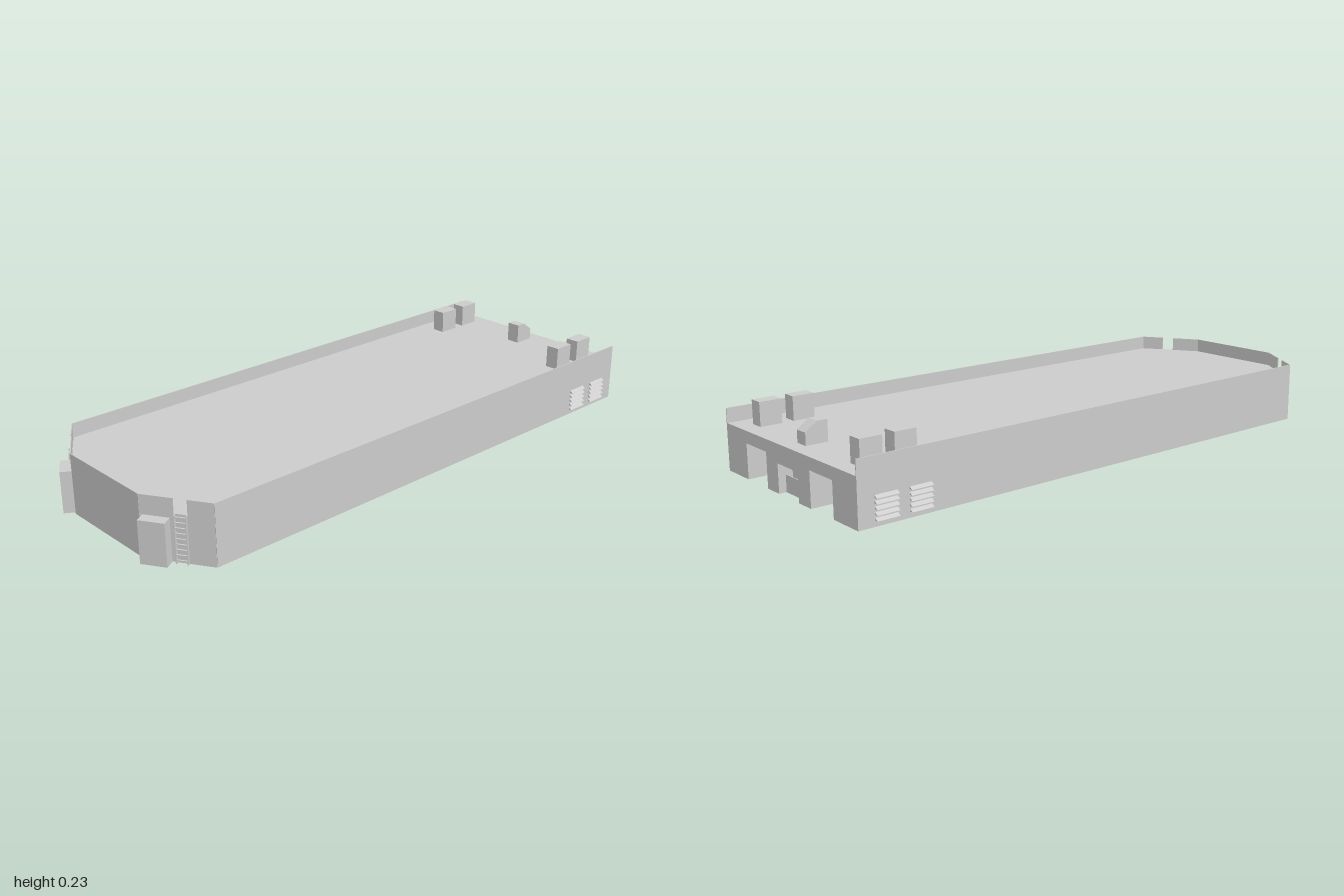
import * as THREE from 'three';

const W = 0.372, BACK = -1, CHAMFER_Z = 0.85, FRONT_Z = 0.97, FRONT_X = 0.18;
const DECK = 0.155, TOP = 0.203, THICK = 0.003;

export function createModel() {
  const root = new THREE.Group();
  const mat = new THREE.MeshStandardMaterial({ color: 0xcccccc, flatShading: true, side: THREE.DoubleSide });

  const add = (name, geo) => {
    const m = new THREE.Mesh(geo, mat);
    m.name = name;
    root.add(m);
    return m;
  };
  // box given by its limits
  const box = (name, x0, x1, y0, y1, z0, z1) => {
    const m = add(name, new THREE.BoxGeometry(Math.abs(x1 - x0), y1 - y0, Math.abs(z1 - z0)));
    m.position.set((x0 + x1) / 2, (y0 + y1) / 2, (z0 + z1) / 2);
    return m;
  };
  // upright box standing along the plan line a-b
  const panel = (name, a, b, y0, y1, depth = THICK) => {
    const dx = b[0] - a[0], dz = b[1] - a[1];
    const m = add(name, new THREE.BoxGeometry(Math.hypot(dx, dz), y1 - y0, depth));
    m.position.set((a[0] + b[0]) / 2, (y0 + y1) / 2, (a[1] + b[1]) / 2);
    m.rotation.y = Math.atan2(-dz, dx);
    return m;
  };
  // extrusion of a closed list of points
  const extrude = (pts, depth) => new THREE.ExtrudeGeometry(
    new THREE.Shape(pts.map(p => new THREE.Vector2(...p))), { depth, bevelEnabled: false });

  // deck plate, open at the back edge
  const deck = add('deck', extrude([[-W, BACK], [W, BACK], [W, CHAMFER_Z], [FRONT_X, FRONT_Z],
    [-FRONT_X, FRONT_Z], [-W, CHAMFER_Z]], THICK));
  deck.rotation.x = Math.PI / 2;
  deck.position.y = DECK;

  // back wall with two bays and a central slot
  const back = add('backWall', extrude([[-W, 0], [-0.25, 0], [-0.25, 0.115], [-0.124, 0.115], [-0.124, 0],
    [-0.06, 0], [-0.06, 0.094], [0.06, 0.094], [0.06, 0], [0.124, 0], [0.124, 0.115],
    [0.25, 0.115], [0.25, 0], [W, 0], [W, DECK], [-W, DECK]], THICK));
  back.position.z = BACK;

  // recess lined by a rear wall, two sides and a ceiling
  const recess = (name, x0, x1, h, depth) => {
    const z = BACK + depth;
    panel(name + 'Rear', [x0, z], [x1, z], 0, h);
    for (const x of [x0, x1]) panel(name + 'Side', [x, BACK], [x, z], 0, h);
    box(name + 'Ceiling', x0, x1, h, h + THICK, BACK, z);
  };
  recess('slot', -0.06, 0.06, 0.094, 0.05);
  box('slotPanel', -0.06, 0.06, 0, 0.055, BACK + 0.025, BACK + 0.028);

  // front wall
  panel('frontWall', [-FRONT_X, FRONT_Z], [FRONT_X, FRONT_Z], 0, TOP);

  // block with a sloped rear edge, profile in (z, y)
  const block = add('centreBlock', extrude([[0.95, DECK], [0.95, 0.195], [0.91, 0.224],
    [0.875, 0.224], [0.875, DECK]], 0.048));
  block.rotation.y = Math.PI / 2;
  block.position.x = -0.024;

  const len = Math.hypot(W - FRONT_X, FRONT_Z - CHAMFER_Z);
  const ux = (FRONT_X - W) / len, uz = (FRONT_Z - CHAMFER_Z) / len;

  for (const s of [1, -1]) {
    // point on the angled bow wall: distance along it and outward offset
    const at = (t, out = 0) => [s * (W + ux * t + uz * out), CHAMFER_Z + uz * t - ux * out];

    panel('sideWall', [s * W, BACK], [s * W, CHAMFER_Z], 0, TOP);

    // angled bow wall with a gap in the parapet
    panel('bowWall', at(0), at(len), 0, DECK);
    panel('bowParapet', at(0), at(0.081), DECK, TOP);
    panel('bowParapet', at(0.123), at(len), DECK, TOP);

    // bow locker
    panel('bowLocker', at(0.135, 0.019), at(0.218, 0.019), 0, 0.14, 0.038);

    // ladder below the gap
    for (const t of [0.083, 0.119]) panel('ladderRail', at(t - 0.0015, 0.006), at(t + 0.0015, 0.006), 0, DECK, 0.012);
    for (let i = 0; i < 9; i++) {
      const y = 0.009 + i * 0.0172;
      panel('ladderRung', at(0.083, 0.008), at(0.119, 0.008), y, y + 0.003, 0.005);
    }

    recess('bay', s * 0.124, s * 0.25, 0.115, 0.09);

    for (const [z0, z1] of [[-0.945, -0.87], [-0.83, -0.755]]) {
      // deck post
      box('deckPost', s * 0.258, s * 0.306, DECK, 0.234, z0, z1);
      // wedge louvres on the hull side
      for (let i = 0; i < 5; i++) {
        const y = 0.018 + i * 0.0163;
        const slat = add('louvre', extrude([[s * W, y], [s * (W + 0.013), y], [s * W, y + 0.009]], z1 - z0));
        slat.position.z = z0;
      }
    }
  }
  return root;
}
